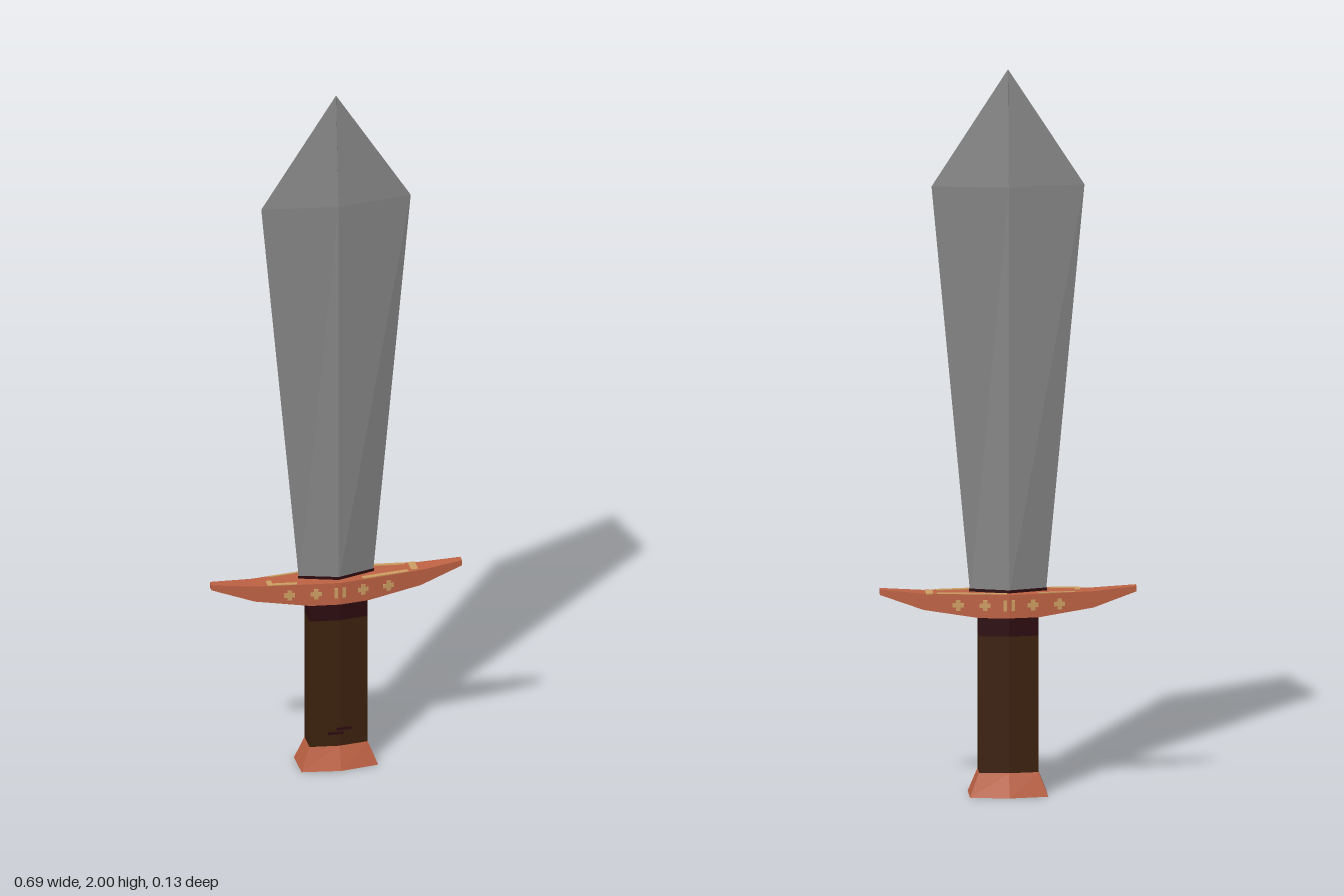
import * as THREE from 'three';

const mat = (name, color) => {
  const m = new THREE.MeshStandardMaterial({ color });
  m.name = name;
  return m;
};

// Flat-faced solid through a list of rings, each counter-clockwise seen from the far end
function loft(rings) {
  const pos = [];
  const tri = (...pts) => pts.forEach((p) => pos.push(...p));
  const n = rings[0].length;
  for (let i = 0; i < rings.length - 1; i++) {
    for (let j = 0; j < n; j++) {
      const k = (j + 1) % n;
      const a = rings[i][j], b = rings[i][k], c = rings[i + 1][k], d = rings[i + 1][j];
      tri(a, b, c);
      tri(a, c, d);
    }
  }
  const first = rings[0], last = rings[rings.length - 1];
  for (let j = 1; j < n - 1; j++) {
    tri(first[0], first[j + 1], first[j]);
    tri(last[0], last[j], last[j + 1]);
  }
  const g = new THREE.BufferGeometry();
  g.setAttribute('position', new THREE.Float32BufferAttribute(pos, 3));
  g.computeVertexNormals();
  return g;
}

// Cross-sections at height y
const diamond = (y, w, d) => [[w, y, 0], [0, y, -d], [-w, y, 0], [0, y, d]];
const hexagon = (y, w, side, mid) => [
  [w, y, side], [w, y, -side], [0, y, -mid], [-w, y, -side], [-w, y, side], [0, y, mid],
];

export function createModel() {
  const model = new THREE.Group();
  model.name = 'sword';
  const steel = mat('steel', 0x868686);
  const copper = mat('copper', 0xbf6344);
  const gold = mat('gold inlay', 0xcf9f63);
  const leather = mat('brown leather', 0x3d210e);
  const maroon = mat('dark maroon', 0x2d0b10);

  const add = (name, geometry, material, parent = model) => {
    const mesh = new THREE.Mesh(geometry, material);
    mesh.name = name;
    parent.add(mesh);
    return mesh;
  };

  // Blade widening towards a pointed tip, with a dark seam at its foot
  add('blade', loft([
    diamond(0.55, 0.102, 0.031), diamond(1.68, 0.207, 0.031), diamond(2, 0.0005, 0.0005),
  ]), steel);
  add('bladeSeam', loft([diamond(0.555, 0.105, 0.033), diamond(0.568, 0.106, 0.033)]), maroon);

  // Grip, its top band and the flared pommel
  add('grip', loft([hexagon(0.06, 0.08, 0.03, 0.04), hexagon(0.442, 0.08, 0.03, 0.04)]), leather);
  add('gripBand', loft([hexagon(0.442, 0.08, 0.03, 0.04), hexagon(0.5, 0.08, 0.03, 0.04)]), maroon);
  add('pommel', loft([hexagon(0, 0.106, 0.047, 0.063), hexagon(0.065, 0.081, 0.031, 0.041)]), copper);
  for (const [x, y] of [[-0.01, 0.104], [0.013, 0.116]]) {
    add('gripMark', new THREE.BoxGeometry(0.042, 0.007, 0.006), maroon).position.set(x, y, 0.039);
  }

  // Crossguard, lofted along x: [x, bottom, top]
  const depthAt = (x) => 0.052 - 0.041 * Math.abs(x) / 0.347;
  const half = [[0, 0.495, 0.56], [0.08, 0.495, 0.56], [0.23, 0.516, 0.561], [0.347, 0.556, 0.571]];
  const stations = [...half.slice(1).reverse().map(([x, b, t]) => [-x, b, t]), ...half];
  add('crossguard', loft(stations.map(([x, b, t]) => {
    const d = depthAt(x);
    return [[x, b, -d], [x, t, -d], [x, t, d], [x, b, d]];
  })), copper);

  // Inlaid crosses on both faces of the guard
  for (const turn of [0, Math.PI]) {
    const face = new THREE.Group();
    face.name = 'guardInlay';
    face.rotation.y = turn;
    model.add(face);
    const bar = (x, y, w, h) => {
      const m = add('inlayBar', new THREE.BoxGeometry(w, h, 0.004), gold, face);
      m.position.set(x, y, depthAt(x));
      m.rotation.y = Math.sign(x) * 0.118;
    };
    for (const x of [-0.137, -0.065, 0.065, 0.137]) {
      bar(x, 0.53, 0.03, 0.012);
      bar(x, 0.53, 0.012, 0.03);
    }
    for (const x of [-0.011, 0.011]) bar(x, 0.53, 0.009, 0.03);
  }

  // Worn gold strips on top of the guard: [x, z, width, depth, tilt]
  const strips = [
    [-0.13, -0.031, 0.1, 0.006, 0.11], [0.1, -0.034, 0.19, 0.01, -0.11],
    [0.214, -0.005, 0.02, 0.045, 0], [0.13, 0.028, 0.13, 0.013, 0.11],
    [-0.155, 0.027, 0.08, 0.011, -0.11], [-0.188, 0.012, 0.015, 0.025, 0],
  ];
  for (const [x, z, w, d, tilt] of strips) {
    const m = add('topInlay', new THREE.BoxGeometry(w, 0.004, d), gold);
    m.position.set(x, 0.5605, z);
    m.rotation.y = tilt;
  }
  return model;
}
